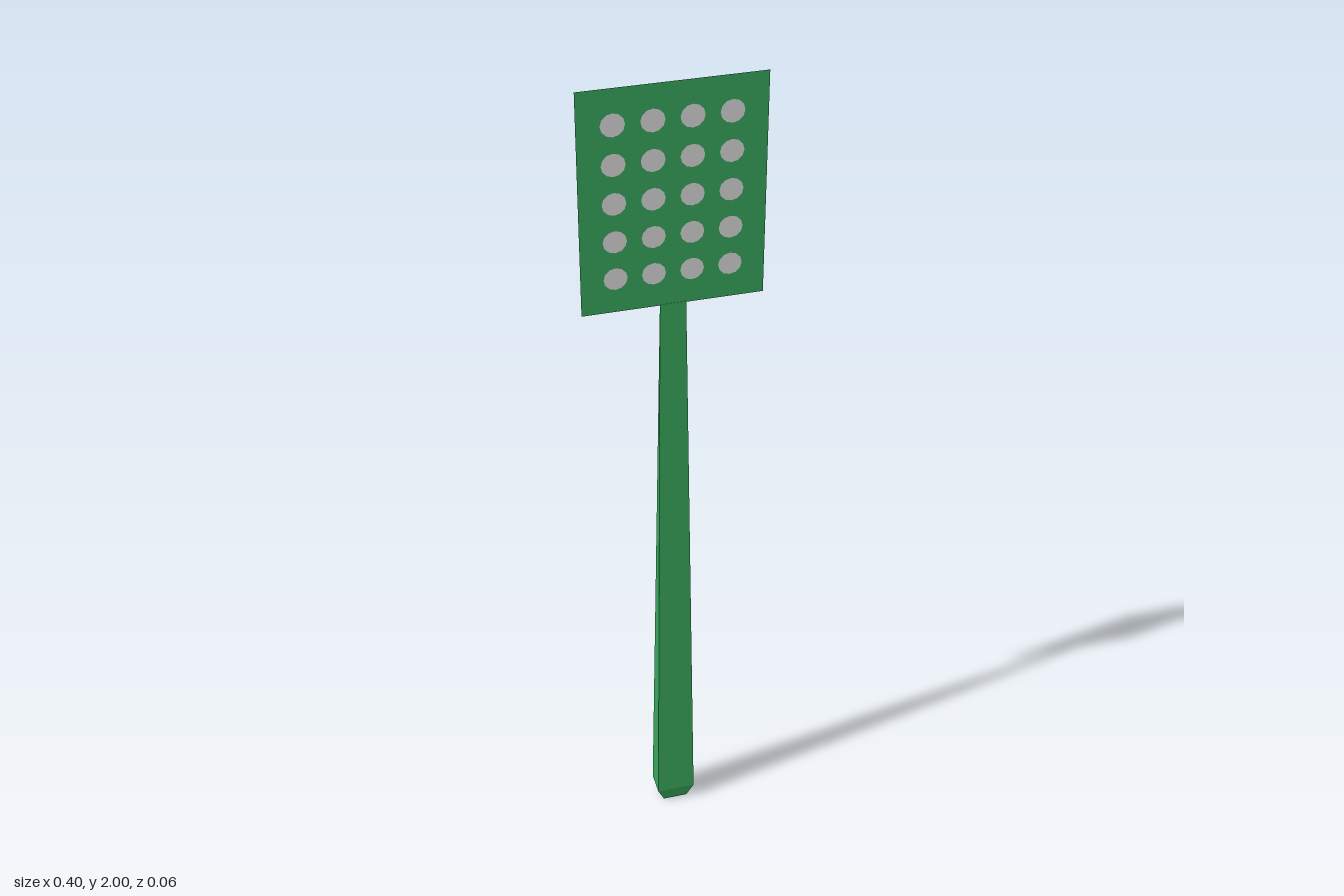
import * as THREE from 'three';

export function createModel() {
  const model = new THREE.Group();
  model.name = 'flySwatter';

  const green = new THREE.MeshStandardMaterial({ color: 0x36a45a, side: THREE.DoubleSide });
  green.name = 'green plastic';
  const grey = new THREE.MeshStandardMaterial({ color: 0xd6d6d6, side: THREE.DoubleSide });
  grey.name = 'light grey';

  const add = (name, geometry, material, parent = model) => {
    const mesh = new THREE.Mesh(geometry, material);
    mesh.name = name;
    parent.add(mesh);
    return mesh;
  };

  // Handle: a box with a bevelled butt, tapering to a thin edge at the top
  const sections = [ // height, half width, half depth
    [0, 0.03, 0.02],
    [0.04, 0.047, 0.029],
    [1.49, 0.029, 0.0005],
  ];
  const box = new THREE.BoxGeometry(2, 2, 2, 1, 2, 1);
  const pos = box.attributes.position;
  for (let i = 0; i < pos.count; i++) {
    const [y, w, d] = sections[Math.round(pos.getY(i)) + 1];
    pos.setXYZ(i, pos.getX(i) * w, y, pos.getZ(i) * d);
  }
  const handleGeometry = box.toNonIndexed();
  handleGeometry.computeVertexNormals();
  add('handle', handleGeometry, green);

  // Paddle: a flat sheet whose openings are filled by the grey dots
  const paddle = new THREE.Shape();
  paddle.moveTo(-0.2, 1.488).lineTo(0.2, 1.488).lineTo(0.2, 2).lineTo(-0.2, 2).closePath();
  const dots = new THREE.Group();
  dots.name = 'dots';
  const radius = 0.026;
  const sides = 12;
  for (let row = 0; row < 5; row++) {
    for (let col = 0; col < 4; col++) {
      const x = (col - 1.5) * 0.083;
      const y = 1.568 + row * 0.088;
      const rim = [];
      for (let k = 0; k < sides; k++) {
        const a = (k / sides) * Math.PI * 2;
        rim.push(new THREE.Vector2(x + radius * Math.cos(a), y + radius * Math.sin(a)));
      }
      paddle.holes.push(new THREE.Path(rim));
      add('dot', new THREE.CircleGeometry(radius, sides), grey, dots).position.set(x, y, 0);
    }
  }
  add('paddle', new THREE.ShapeGeometry(paddle), green);
  model.add(dots);

  return model;
}
